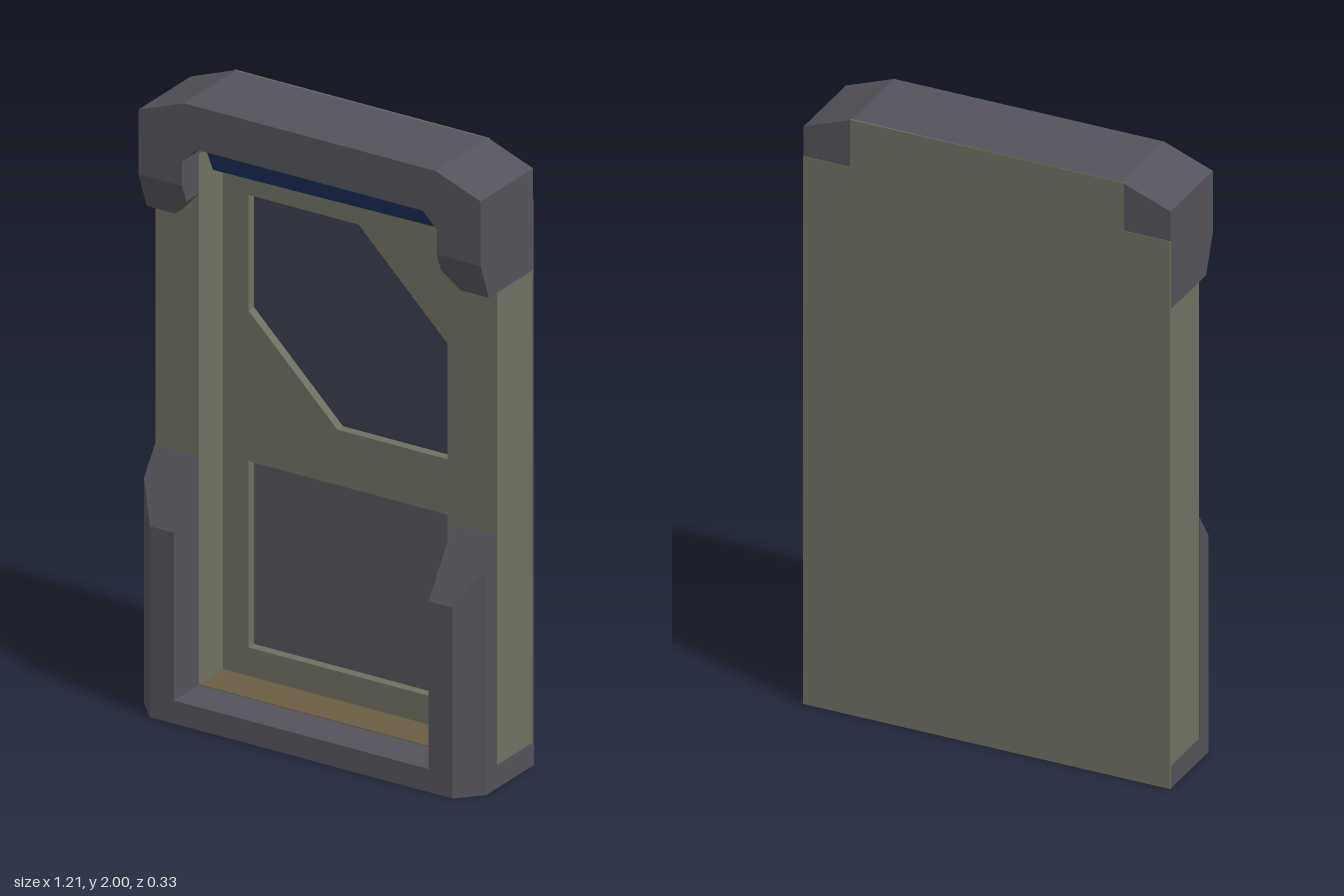
import * as THREE from 'three';

const mat = (color) => new THREE.MeshStandardMaterial({ color, flatShading: true });

// Extrude a polygon from z0 to z1
function slab(points, z0, z1, holes = []) {
  const toV = (list) => list.map(([x, y]) => new THREE.Vector2(x, y));
  const shape = new THREE.Shape(toV(points));
  for (const h of holes) shape.holes.push(new THREE.Path(toV(h)));
  const g = new THREE.ExtrudeGeometry(shape, { depth: z1 - z0, bevelEnabled: false });
  return g.translate(0, 0, z0);
}

// Extrude an (x, z) footprint upwards from y = 0
function prism(points, height) {
  return slab(points.map(([x, z]) => [x, -z]), 0, height).rotateX(-Math.PI / 2);
}

function box(x0, x1, y0, y1, z0, z1) {
  return new THREE.BoxGeometry(x1 - x0, y1 - y0, z1 - z0)
    .translate((x0 + x1) / 2, (y0 + y1) / 2, (z0 + z1) / 2);
}

// Move vertices by a rule
function bend(g, rule) {
  const p = g.attributes.position;
  const v = new THREE.Vector3();
  for (let i = 0; i < p.count; i++) {
    v.fromBufferAttribute(p, i);
    rule(v);
    p.setXYZ(i, v.x, v.y, v.z);
  }
  g.computeVertexNormals();
  return g;
}

export function createModel() {
  const group = new THREE.Group();
  const olive = mat(0x6e6e5f), grey = mat(0x54525a), brown = mat(0x6a5c43);
  const glass = mat(0x363e4e), blue = mat(0x1c2f5c);
  const add = (name, geometry, material) => {
    const m = new THREE.Mesh(geometry, material);
    m.name = name;
    group.add(m);
  };
  const W = 0.605, IN = 0.45, BACK = -0.165, POST = 0.03, DOOR = -0.1, INSET = -0.13;

  // Base with chamfered front corners
  add('base', prism([[-W, BACK], [W, BACK], [W, 0.09], [0.535, 0.165], [-0.535, 0.165], [-W, 0.09]], 0.075), grey);
  add('sill', box(-IN, IN, 0.07, 0.077, DOOR, POST), brown);

  for (const [side, s] of [['left', 1], ['right', -1]]) {
    // Door post
    add(side + 'Post', s > 0 ? box(IN - 0.001, W - 0.001, 0.075, 1.8, BACK, POST)
      : box(-W + 0.001, -IN + 0.001, 0.075, 1.8, BACK, POST), olive);

    // Lower guard, its top cut by a slope towards the front
    const guard = prism([[IN, POST], [W, POST], [W, 0.09], [0.535, 0.165], [IN, 0.165]].map(([x, z]) => [s * x, z]), 0.82);
    bend(guard, (v) => { if (v.y > 0.5) v.y = 0.82 - (v.z - POST) * 1.48; });
    add(side + 'Guard', guard, grey);

    // Hood end hanging down over the post, front slanting back
    const end = slab([[IN, 1.73], [IN, 1.67], [0.505, 1.61], [W, 1.61], [W, 1.73]].map(([x, y]) => [s * x, y]), BACK, 0.12);
    bend(end, (v) => { if (v.z > 0) v.z = 0.12 - (1.73 - v.y) * 0.375; });
    add(side + 'HoodEnd', end, grey);
  }

  // Hood arching over the doorway
  add('hood', slab([
    [-W, 1.73], [-IN, 1.73], [-IN, 1.81], [-0.4, 1.86], [0.4, 1.86], [IN, 1.81], [IN, 1.73], [W, 1.73],
    [W, 1.94], [0.445, 2], [-0.445, 2], [-W, 1.94],
  ], BACK, 0.12), grey);

  // Light bar tucked under the hood, leaning forward at the top
  const light = box(-IN, IN, 1.72, 1.88, INSET, POST);
  bend(light, (v) => {
    if (v.z > 0 && v.y < 1.8) v.z = -0.045;
    if (v.y < 1.8 && v.x > 0) v.y = 1.73;
  });
  add('lightBar', light, blue);

  // Door leaf with window and panel openings
  const windowHole = [[-0.36, 1.64], [0.03, 1.64], [0.345, 1.33], [0.345, 0.955], [-0.045, 0.955], [-0.36, 1.265]];
  const panelHole = [[-0.36, 0.17], [0.345, 0.17], [0.345, 0.775], [-0.36, 0.775]];
  add('door', slab([[-IN, 0.075], [IN, 0.075], [IN, 1.76], [-IN, 1.76]], INSET, DOOR, [windowHole, panelHole]), olive);
  add('window', slab(windowHole, INSET - 0.01, INSET), glass);
  add('lowerPanel', slab(panelHole, INSET - 0.01, INSET), grey);

  // Back sheet, notched at the upper corners
  add('backPanel', slab([
    [-W, 0], [W, 0], [W, 1.84], [IN, 1.84], [IN, 2], [-IN, 2], [-IN, 1.84], [-W, 1.84],
  ], BACK - 0.002, BACK + 0.004), olive);

  return group;
}
